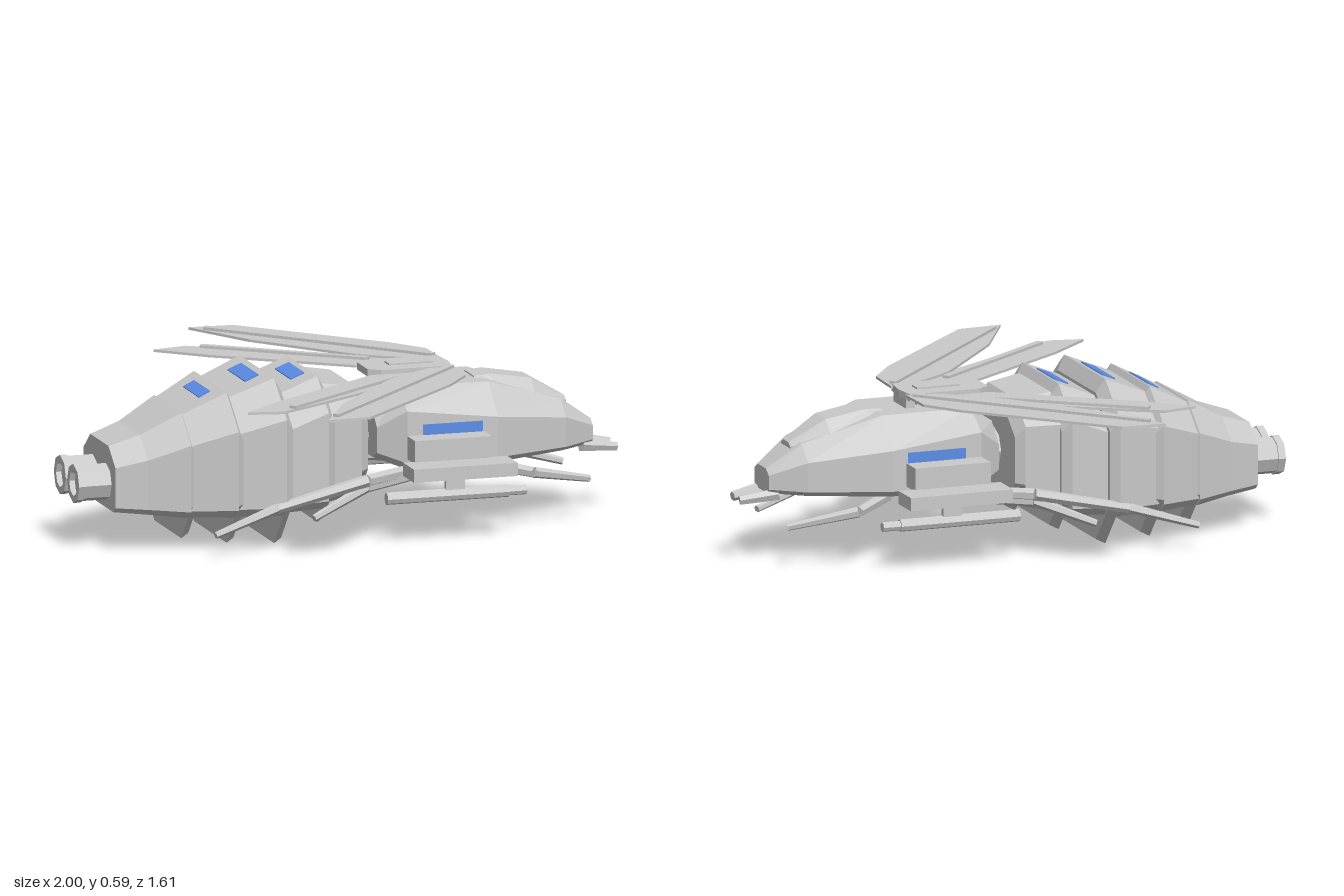
import * as THREE from 'three';

const grey = new THREE.MeshStandardMaterial({ color: 0xcacaca });
grey.name = 'hullGrey';
const blue = new THREE.MeshStandardMaterial({ color: 0x5c8ee8 });
blue.name = 'windowBlue';

// Faceted normals
function flat(geo) {
  const g = geo.index ? geo.toNonIndexed() : geo;
  g.computeVertexNormals();
  return g;
}

function add(parent, name, geo, mat = grey) {
  const m = new THREE.Mesh(flat(geo), mat);
  m.name = name;
  parent.add(m);
  return m;
}

// Eight-sided cross-section: a = half top, w = half width, b = half bottom
const ring = (x, a, yTop, w, yShoulder, yLow, b, yBottom) => {
  const half = [[a, yTop], [w, yShoulder], [w, yLow], [b, yBottom]];
  const all = [...half, ...half.slice().reverse().map(([z, y]) => [-z, y])];
  return all.map(([z, y]) => new THREE.Vector3(x, y, z));
};

// Capped skin over rings ordered along +x
function loft(rings) {
  const pts = [];
  const tri = (...v) => v.forEach((p) => pts.push(p.x, p.y, p.z));
  const n = rings[0].length;
  for (let i = 0; i < rings.length - 1; i++) {
    for (let j = 0; j < n; j++) {
      const k = (j + 1) % n, p = rings[i], q = rings[i + 1];
      tri(p[j], p[k], q[j]);
      tri(p[k], q[k], q[j]);
    }
  }
  const s = rings[0], e = rings[rings.length - 1];
  for (let j = 1; j < n - 1; j++) {
    tri(s[0], s[j + 1], s[j]);
    tri(e[0], e[j], e[j + 1]);
  }
  const g = new THREE.BufferGeometry();
  g.setAttribute('position', new THREE.Float32BufferAttribute(pts, 3));
  return g;
}

function box(parent, name, x0, x1, y0, y1, z0, z1, mat = grey) {
  const g = new THREE.BoxGeometry(x1 - x0, y1 - y0, Math.abs(z1 - z0));
  g.translate((x0 + x1) / 2, (y0 + y1) / 2, (z0 + z1) / 2);
  return add(parent, name, g, mat);
}

// Straight bar between two points
function bar(parent, name, from, to, r0, r1 = r0, sides = 6) {
  const a = new THREE.Vector3(...from), b = new THREE.Vector3(...to);
  const m = add(parent, name, new THREE.CylinderGeometry(r1, r0, a.distanceTo(b), sides));
  m.position.copy(a).add(b).multiplyScalar(0.5);
  m.quaternion.setFromUnitVectors(new THREE.Vector3(0, 1, 0), b.sub(a).normalize());
  return m;
}

// Flat outline in x and z, raised to height y
function slab(parent, name, outline, y, t) {
  const shape = new THREE.Shape(outline.map(([x, z]) => new THREE.Vector2(x, -z)));
  const g = new THREE.ExtrudeGeometry(shape, { depth: t, bevelEnabled: false });
  g.rotateX(-Math.PI / 2);
  g.translate(0, y, 0);
  return add(parent, name, g);
}

export function createModel() {
  const model = new THREE.Group();
  model.name = 'insectShip';

  // Abdomen: flared segments, each ending in a deep belly plate
  const abdomen = new THREE.Group();
  abdomen.name = 'abdomen';
  model.add(abdomen);
  const section = (x, w, top, bottom, low, base) =>
    ring(x, w * 0.57, top, w, top - w * 0.34, bottom + w * low, w * base, bottom);
  // x0, w0, top0, bottom0, x1, w1, top1, bottom1, plate bottom, window x0, x1, half width
  const segments = [
    [-0.88, 0.185, 0.364, 0.14, -0.77, 0.215, 0.4, 0.13],
    [-0.77, 0.215, 0.4, 0.13, -0.63, 0.275, 0.476, 0.118, 0.03],
    [-0.63, 0.265, 0.468, 0.12, -0.475, 0.33, 0.545, 0.12, 0.01, -0.545, -0.505, 0.09],
    [-0.475, 0.305, 0.52, 0.12, -0.305, 0.35, 0.588, 0.12, 0, -0.38, -0.33, 0.1],
    [-0.305, 0.305, 0.515, 0.12, -0.14, 0.31, 0.58, 0.13, 0.06, -0.21, -0.16, 0.088],
    [-0.14, 0.275, 0.55, 0.14, 0.005, 0.235, 0.53, 0.16, 0.13],
  ];
  for (const [x0, w0, t0, b0, x1, w1, t1, b1, plate, wx0, wx1, wz] of segments) {
    add(abdomen, 'abdomenSegment', loft([
      section(x0, w0, t0, b0, 0.1, 0.88),
      section(x1, w1, t1, b1, 0.1, 0.88),
    ]));
    if (plate !== undefined) {
      add(abdomen, 'bellyPlate', loft([
        section(x1, w1, t1, plate, 0.48, 0.57),
        section(x1 + 0.03, w1 - 0.025, t1 - 0.05, plate + 0.015, 0.48, 0.57),
      ]));
    }
    if (wz) {
      const slope = (t1 - t0) / (x1 - x0), mid = (wx0 + wx1) / 2;
      const g = new THREE.BoxGeometry((wx1 - wx0) * Math.hypot(1, slope), 0.006, wz * 2);
      const win = add(abdomen, 'abdomenWindow', g, blue);
      win.position.set(mid, t0 + slope * (mid - x0) + 0.002, 0);
      win.rotation.z = Math.atan(slope);
    }
  }
  bar(model, 'neck', [0.02, 0.33, 0], [0.1, 0.33, 0], 0.075, 0.075, 8);

  // Thorax and head
  add(model, 'thorax', loft([
    ring(0.08, 0.1, 0.45, 0.17, 0.38, 0.29, 0.11, 0.265),
    ring(0.17, 0.13, 0.51, 0.235, 0.445, 0.26, 0.2, 0.235),
    ring(0.5, 0.13, 0.51, 0.235, 0.405, 0.26, 0.2, 0.235),
    ring(0.78, 0.075, 0.42, 0.14, 0.365, 0.26, 0.1, 0.24),
    ring(0.9, 0.04, 0.335, 0.07, 0.315, 0.265, 0.055, 0.25),
  ]));
  add(model, 'canopy', loft([
    ring(0.47, 0.05, 0.515, 0.09, 0.49, 0.45, 0.09, 0.42),
    ring(0.53, 0.055, 0.52, 0.1, 0.485, 0.44, 0.1, 0.42),
    ring(0.68, 0.05, 0.495, 0.098, 0.45, 0.42, 0.085, 0.39),
    ring(0.81, 0.025, 0.418, 0.045, 0.405, 0.395, 0.03, 0.38),
  ]));

  // Wing hub
  slab(model, 'wingHub', [[0.08, -0.06], [0.12, -0.09], [0.38, -0.09], [0.39, 0], [0.38, 0.09], [0.12, 0.09], [0.08, 0.06]], 0.54, 0.026);
  box(model, 'hubRearPost', 0.115, 0.155, 0.48, 0.545, -0.06, 0.06);
  box(model, 'hubFrontPost', 0.35, 0.385, 0.5, 0.545, -0.06, 0.06);
  box(model, 'hubRidge', 0.17, 0.33, 0.5, 0.572, -0.025, 0.025);

  const largeWing = [[0.39, 0.07], [0.385, 0.23], [0.29, 0.36], [-0.14, 0.795], [-0.3, 0.805], [-0.16, 0.55], [0.12, 0.21], [0.32, 0.07]];
  const smallWing = [[0.25, 0.06], [0.3, 0.12], [0.15, 0.23], [-0.19, 0.45], [-0.385, 0.57], [-0.51, 0.545], [-0.35, 0.4], [0.08, 0.09]];

  // Octagonal nozzle rim with a recess, from centre outwards
  const rim = [[0, 0.02], [0.045, 0.02], [0.045, 0], [0.07, 0], [0.07, 0.026], [0.06, 0.026]]
    .map(([r, y]) => new THREE.Vector2(r, y));

  for (const s of [1, -1]) {
    const side = new THREE.Group();
    side.name = s > 0 ? 'nearSide' : 'farSide';
    model.add(side);
    const path = (name, pts, radii) => {
      for (let i = 0; i < pts.length - 1; i++) {
        const [p, q] = [pts[i], pts[i + 1]].map(([x, y, z]) => [x, y, z * s]);
        bar(side, name, p, q, radii[i], radii[i + 1]);
      }
    };
    const mirror = (o) => o.map(([x, z]) => [x, z * s]);

    // Wings with raised spars
    slab(side, 'largeWing', mirror(largeWing), 0.553, 0.009);
    slab(side, 'smallWing', mirror(smallWing), 0.541, 0.009);
    slab(side, 'largeWingSpar', mirror([[0.38, 0.11], [0.365, 0.09], [-0.265, 0.75], [-0.25, 0.77]]), 0.558, 0.014);
    slab(side, 'smallWingSpar', mirror([[0.16, 0.17], [0.145, 0.15], [-0.35, 0.52], [-0.335, 0.54]]), 0.546, 0.014);

    // Side window, pod and gun
    box(side, 'sideWindow', 0.23, 0.445, 0.355, 0.395, s * 0.232, s * 0.239, blue);
    box(side, 'sidePod', 0.17, 0.45, 0.275, 0.358, s * 0.2, s * 0.325);
    box(side, 'gunPod', 0.13, 0.51, 0.235, 0.282, s * 0.315, s * 0.437);
    bar(side, 'gunBarrel', [0.065, 0.16, s * 0.325], [0.51, 0.16, s * 0.325], 0.022, 0.022, 8);
    bar(side, 'gunMuzzle', [0.51, 0.16, s * 0.325], [0.575, 0.16, s * 0.325], 0.017, 0.017, 8);
    box(side, 'gunMount', 0.28, 0.35, 0.165, 0.24, s * 0.316, s * 0.334);

    // Legs
    path('frontLeg', [[0.48, 0.22, 0.12], [0.63, 0.2, 0.24], [0.86, 0.145, 0.15]], [0.024, 0.02, 0.013]);
    path('middleLeg', [[0.3, 0.21, 0.12], [0, 0.2, 0.3], [-0.21, 0.115, 0.36]], [0.024, 0.02, 0.013]);
    path('rearLeg', [[0.25, 0.22, 0.14], [0, 0.225, 0.31], [-0.34, 0.155, 0.345], [-0.58, 0.085, 0.395]], [0.024, 0.022, 0.018, 0.012]);

    // Mandible
    path('mandible', [[0.86, 0.245, 0.06], [0.995, 0.227, 0.035]], [0.024, 0.017]);

    // Engine
    const ez = s * 0.077;
    bar(side, 'engine', [-0.977, 0.233, ez], [-0.87, 0.233, ez], 0.065, 0.065, 8);
    const collar = add(side, 'engineCollar', new THREE.LatheGeometry(rim, 8));
    collar.position.set(-1, 0.233, ez);
    collar.rotation.z = -Math.PI / 2;
  }
  return model;
}
